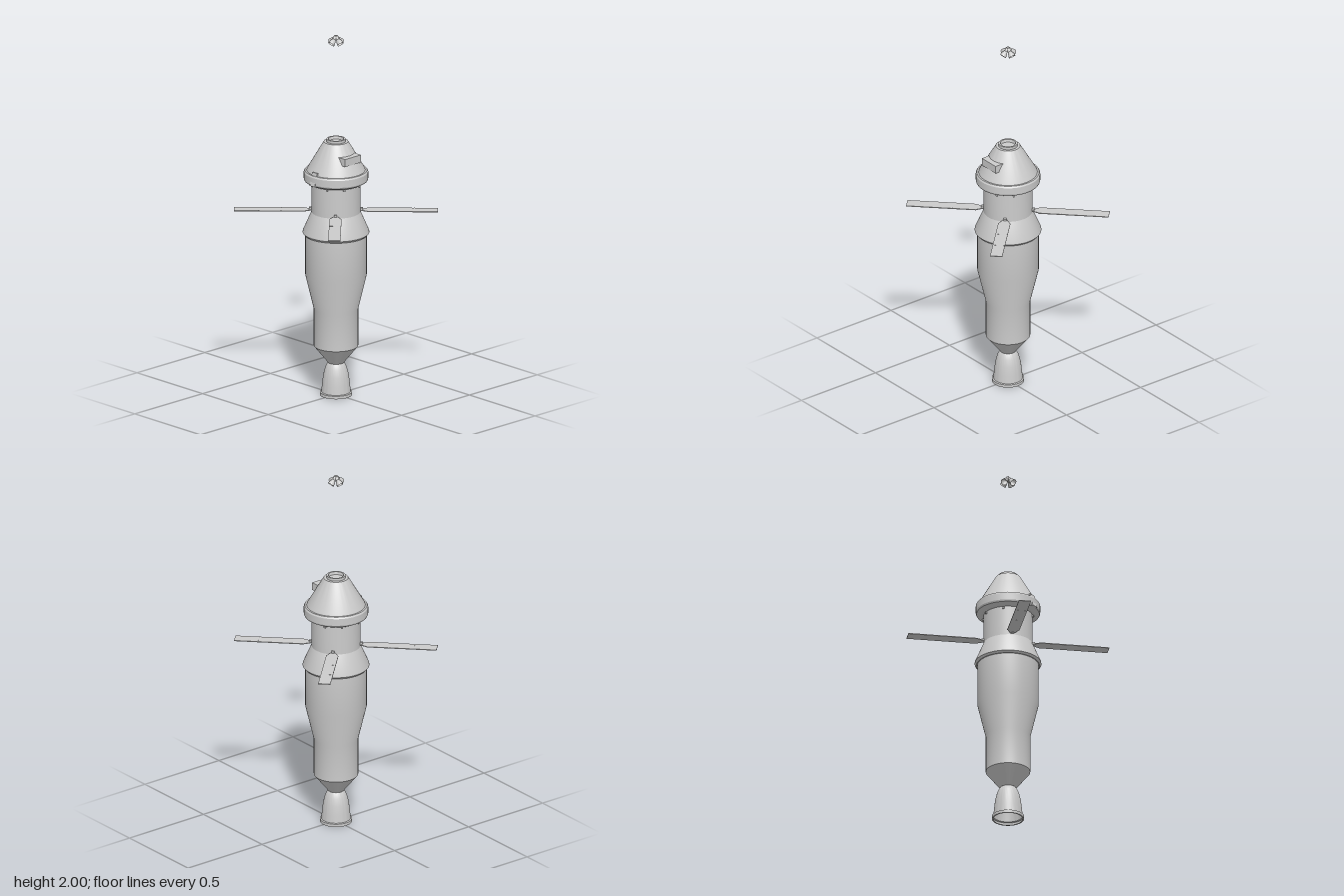
import * as THREE from 'three';
import { toCreasedNormals } from 'three/addons/utils/BufferGeometryUtils.js';

const grey = new THREE.MeshStandardMaterial({ color: 0xcccccc });
const greyDouble = new THREE.MeshStandardMaterial({ color: 0xcccccc, side: THREE.DoubleSide });

// Turned part from [radius, y] pairs listed from bottom to top
function turned(name, profile, material = grey, segments = 64) {
  const points = profile.map(([r, y]) => new THREE.Vector2(r, y));
  const geometry = toCreasedNormals(new THREE.LatheGeometry(points, segments), 0.3);
  const mesh = new THREE.Mesh(geometry, material);
  mesh.name = name;
  return mesh;
}

function box(name, w, h, d, x, y, z) {
  const mesh = new THREE.Mesh(new THREE.BoxGeometry(w, h, d), grey);
  mesh.name = name;
  mesh.position.set(x, y, z);
  return mesh;
}

// One wing reaching out along local +x: yoke, three panels and hinge lugs
function solarWing() {
  const wing = new THREE.Group();
  wing.name = 'solarWing';

  const yokeShape = new THREE.Shape();
  yokeShape.moveTo(0.12, -0.006);
  yokeShape.lineTo(0.168, -0.03);
  yokeShape.lineTo(0.168, 0.03);
  yokeShape.lineTo(0.12, 0.006);
  const yokeGeometry = new THREE.ExtrudeGeometry(yokeShape, { depth: 0.004, bevelEnabled: false });
  yokeGeometry.rotateX(-Math.PI / 2);
  const yoke = new THREE.Mesh(yokeGeometry, grey);
  yoke.name = 'wingYoke';
  yoke.position.y = 1.027;
  wing.add(yoke, box('wingHinge', 0.016, 0.016, 0.016, 0.135, 1.034, 0));

  const length = 0.125;
  for (let i = 0; i < 3; i++) {
    wing.add(box('solarPanel', length - 0.002, 0.004, 0.065, 0.166 + length * (i + 0.5), 1.029, 0));
    if (i > 0) wing.add(box('panelHinge', 0.006, 0.005, 0.064, 0.166 + length * i, 1.029, 0));
  }
  return wing;
}

export function createModel() {
  const model = new THREE.Group();
  model.name = 'spacecraft';

  // Engine bell, open at the bottom
  model.add(turned('engineBell', [
    [0.078, 0], [0.085, 0], [0.085, 0.016], [0.078, 0.019], [0.074, 0.06],
    [0.068, 0.11], [0.058, 0.15], [0.048, 0.172], [0.04, 0.182],
  ], greyDouble));

  // Lower stage: tail cone, narrow tank, flare and wide tank
  model.add(turned('propulsionStage', [
    [0, 0.18], [0.042, 0.18], [0.118, 0.275], [0.118, 0.48],
    [0.163, 0.67], [0.163, 0.902], [0, 0.902],
  ]));

  // Flared adapter skirt
  model.add(turned('adapterSkirt', [
    [0, 0.895], [0.168, 0.895], [0.177, 0.906], [0.176, 0.913], [0.13, 1.02], [0, 1.02],
  ]));

  model.add(turned('serviceModule', [[0, 1.01], [0.13, 1.01], [0.13, 1.195], [0, 1.195]]));

  // Heat shield ring and crew cabin
  model.add(turned('heatShieldRing', [
    [0, 1.184], [0.145, 1.184], [0.167, 1.196], [0.171, 1.205],
    [0.171, 1.243], [0.165, 1.252], [0, 1.252],
  ]));
  model.add(turned('crewCapsule', [
    [0.158, 1.245], [0.152, 1.262], [0.071, 1.4], [0.065, 1.41], [0, 1.41],
  ]));
  model.add(turned('dockingRing', [[0.05, 1.4], [0.05, 1.425], [0.041, 1.425], [0.037, 1.408]], greyDouble));

  // Box on the front of the cabin and cable cover on its right side
  model.add(box('frontHousing', 0.118, 0.042, 0.075, 0, 1.33, 0.0925));
  const cover = box('umbilicalCover', 0.02, 0.075, 0.038, -0.157, 1.231, 0);
  cover.rotation.z = -0.25;
  model.add(cover);

  // Four wings and small thrusters under the ring, set on the diagonals
  for (let i = 0; i < 4; i++) {
    const angle = Math.PI / 4 + (i * Math.PI) / 2;
    const wing = solarWing();
    wing.rotation.y = angle;
    model.add(wing);

    for (const offset of [-0.35, 0.35]) {
      const a = angle + offset;
      const thruster = box('thruster', 0.012, 0.01, 0.01, 0.132 * Math.cos(a), 1.175, 0.132 * Math.sin(a));
      thruster.rotation.y = -a;
      model.add(thruster);
    }
  }

  // Separate nozzle cluster floating above: four bells splayed out and down
  const cluster = new THREE.Group();
  cluster.name = 'nozzleCluster';
  cluster.position.y = 1.99;
  for (let i = 0; i < 4; i++) {
    const arm = new THREE.Group();
    arm.name = 'clusterArm';
    arm.rotation.y = (i * Math.PI) / 2;
    const bell = turned('clusterNozzle', [
      [0.0185, -0.046], [0.017, -0.036], [0.0135, -0.025], [0.009, -0.016], [0.011, -0.008], [0.009, 0.002], [0, 0.004],
    ], greyDouble, 20);
    bell.rotation.z = Math.PI / 4;
    bell.position.x = 0.003;
    arm.add(bell);
    cluster.add(arm);
  }
  cluster.add(box('clusterHub', 0.014, 0.018, 0.014, 0, 0.001, 0));
  model.add(cluster);

  return model;
}
